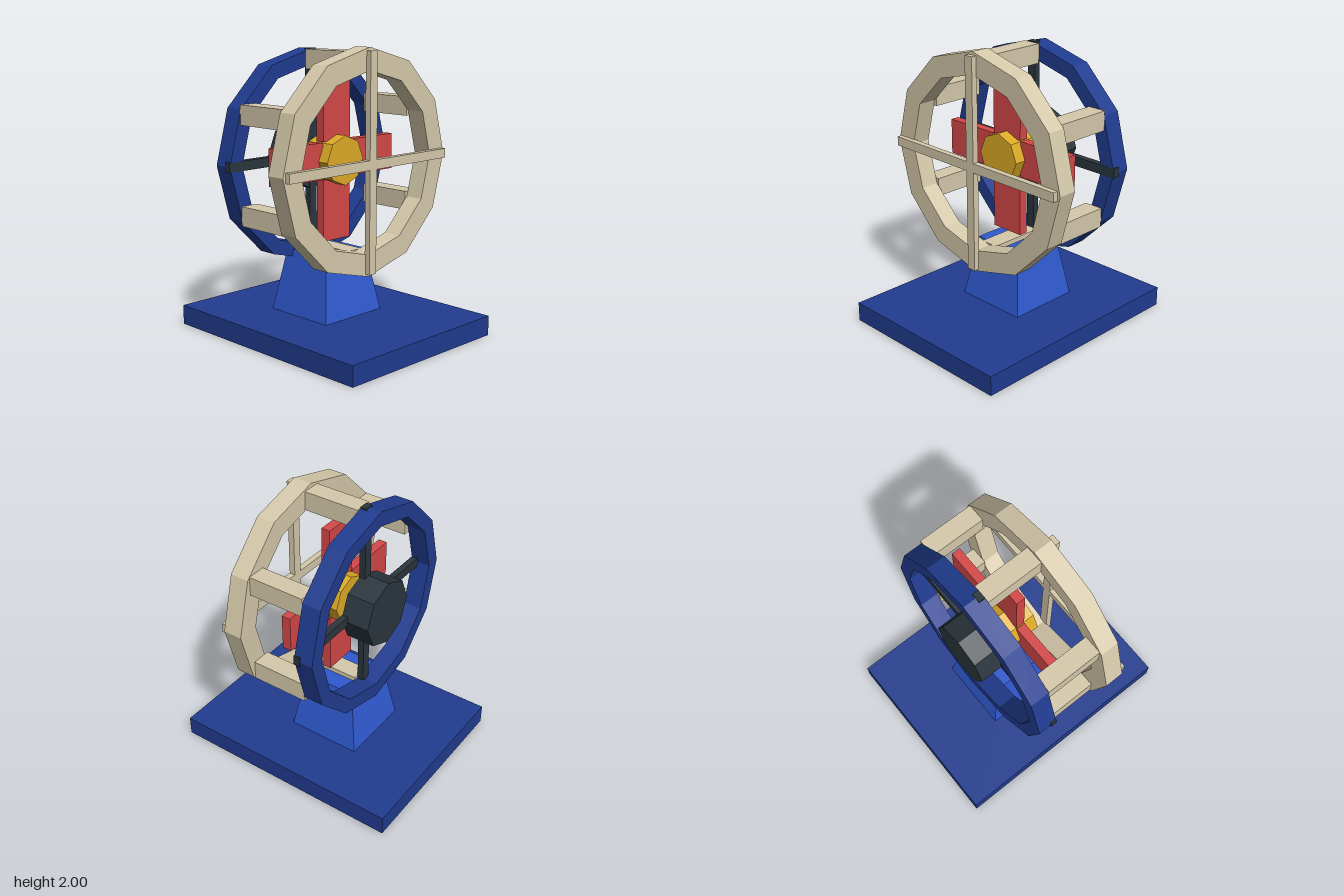
import * as THREE from 'three';

const mat = (name, color) => {
  const m = new THREE.MeshStandardMaterial({ color, flatShading: true });
  m.name = name;
  return m;
};

export function createModel() {
  const group = new THREE.Group();
  const navy = mat('navy', 0x213c90);
  const blue = mat('blue', 0x2f59cf);
  const beige = mat('beige', 0xd6caab);
  const red = mat('red', 0xd64848);
  const gold = mat('gold', 0xdeab26);
  const charcoal = mat('charcoal', 0x2b363d);
  const axisY = 1.228; // height of the fan's axis, which runs along x

  const add = (name, geometry, material, x = 0, y = 0, z = 0) => {
    const mesh = new THREE.Mesh(geometry, material);
    mesh.name = name;
    mesh.position.set(x, y, z);
    group.add(mesh);
    return mesh;
  };
  // Box given by its x range, centre (y, z) and size (height, depth)
  const bar = (name, material, x0, x1, y, z, h, d) =>
    add(name, new THREE.BoxGeometry(x1 - x0, h, d), material, (x0 + x1) / 2, y, z);
  // Regular polygon with a corner straight up
  const polygon = (Type, radius, sides) => {
    const points = [];
    for (let i = 0; i < sides; i++) {
      const a = Math.PI / 2 + (i / sides) * Math.PI * 2;
      points.push(new THREE.Vector2(Math.cos(a) * radius, Math.sin(a) * radius));
    }
    return new Type(points);
  };
  // Polygonal prism along x, optionally hollow
  const prism = (name, material, x0, x1, radius, sides, inner = 0) => {
    const shape = polygon(THREE.Shape, radius, sides);
    if (inner) shape.holes.push(polygon(THREE.Path, inner, sides));
    const geometry = new THREE.ExtrudeGeometry(shape, { depth: x1 - x0, bevelEnabled: false });
    geometry.rotateY(Math.PI / 2);
    return add(name, geometry, material, x0, axisY, 0);
  };

  // Base plate
  bar('base', navy, -0.87, 0.83, 0.07, 0, 0.14, 1.36);

  // Tapered pedestal
  const taper = new THREE.BoxGeometry(0.54, 0.445, 0.54);
  const p = taper.attributes.position;
  for (let i = 0; i < p.count; i++) {
    if (p.getY(i) > 0) {
      p.setX(i, p.getX(i) * 0.715);
      p.setZ(i, p.getZ(i) * 0.715);
    }
  }
  taper.computeVertexNormals();
  add('pedestal', taper, blue, -0.09, 0.3625, 0);

  // Cage rings
  prism('rearRing', navy, -0.36, -0.222, 0.747, 12, 0.642);
  prism('frontRing', beige, 0.185, 0.32, 0.773, 12, 0.62);

  // Six spacer beams joining the rings
  for (let i = 0; i < 6; i++) {
    const a = (i / 6) * Math.PI * 2;
    bar('spacerBeam', beige, -0.222, 0.187,
      axisY + Math.cos(a) * 0.676, Math.sin(a) * 0.676, 0.134, 0.134);
  }

  // Crossed guard bars on each ring
  for (const [name, material, x0, x1] of [
    ['frontGuardBar', beige, 0.313, 0.357],
    ['rearGuardBar', charcoal, -0.267, -0.221],
  ]) {
    bar(name, material, x0, x1, axisY, 0, 1.5, 0.066);
    bar(name, material, x0, x1, axisY, 0, 0.066, 1.5);
  }

  // Motor housing and hub
  prism('motor', charcoal, -0.43, -0.224, 0.238, 8);
  prism('hub', gold, -0.138, 0.097, 0.172, 8);

  // Four flat blades
  for (const s of [-1, 1]) {
    bar('verticalBlade', red, -0.053, 0.013, axisY + s * 0.346, 0, 0.43, 0.254);
    bar('horizontalBlade', red, -0.053, 0.013, axisY, s * 0.346, 0.254, 0.43);
  }

  return group;
}
